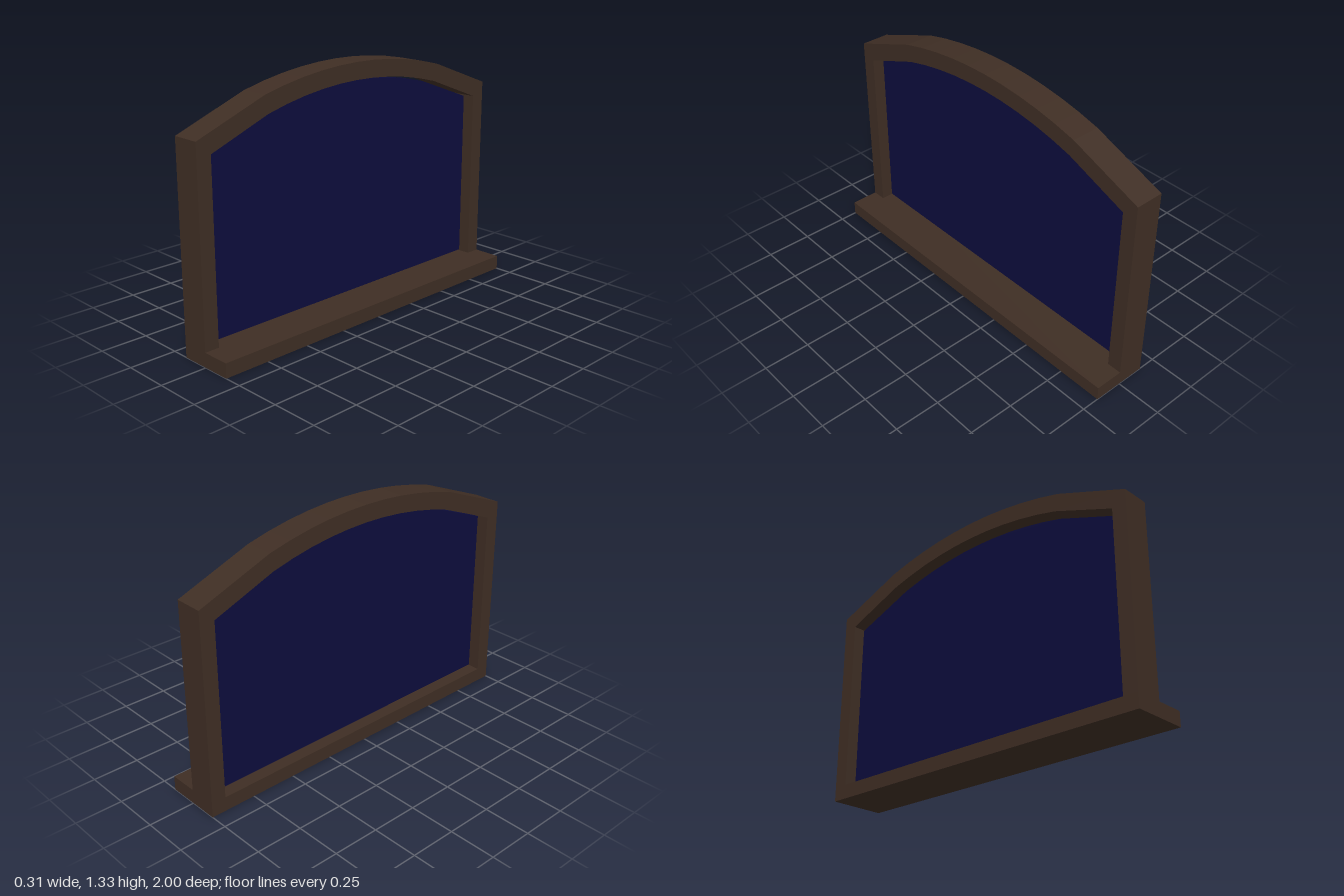
import * as THREE from 'three';

const HALF_DEPTH = 0.155; // frame runs x = -0.155..0, sill reaches x = +0.155
const SILL = 0.077;

// Arc points from -half to +half: straight shoulders, then a faceted circular crown.
function archPoints(half, spring, crown, shoulder) {
  const rise = crown - spring;
  const radius = (half * half + rise * rise) / (2 * rise);
  const steps = 10;
  const points = [new THREE.Vector2(-half, spring)];
  for (let i = 0; i <= steps; i++) {
    const x = shoulder * (2 * i / steps - 1);
    points.push(new THREE.Vector2(x, crown - radius + Math.sqrt(radius * radius - x * x)));
  }
  points.push(new THREE.Vector2(half, spring));
  return points;
}

// Extrudes an outline drawn in the z-y plane from x0 to x1.
function slab(name, points, x0, x1, material) {
  const geometry = new THREE.ExtrudeGeometry(new THREE.Shape(points), {
    depth: x1 - x0, bevelEnabled: false,
  });
  geometry.rotateY(Math.PI / 2);
  geometry.translate(x0, 0, 0);
  const mesh = new THREE.Mesh(geometry, material);
  mesh.name = name;
  return mesh;
}

export function createModel() {
  const wood = new THREE.MeshStandardMaterial({ color: 0x3f2e24 });
  wood.name = 'dark wood';
  const blue = new THREE.MeshStandardMaterial({ color: 0x0d0d3d });
  blue.name = 'navy glass';

  const group = new THREE.Group();
  group.name = 'archedWindow';

  // Sill projecting in front of the frame
  const sill = new THREE.Mesh(new THREE.BoxGeometry(HALF_DEPTH * 2, SILL, 2), wood);
  sill.name = 'sill';
  sill.position.y = SILL / 2;
  group.add(sill);

  // Jambs and arched head as one outline, open at the bottom
  const outer = archPoints(1, 1.092, 1.325, 0.6);
  const inner = archPoints(0.92, 1.02, 1.234, 0.58).reverse();
  group.add(slab('frame', [
    new THREE.Vector2(-1, SILL), ...outer, new THREE.Vector2(1, SILL),
    new THREE.Vector2(0.92, SILL), ...inner, new THREE.Vector2(-0.92, SILL),
  ], -HALF_DEPTH, 0, wood));

  // Pane set in the middle of the frame with a hairline gap all round
  group.add(slab('glassPane', [
    new THREE.Vector2(-0.913, 0.085),
    ...archPoints(0.913, 1.013, 1.221, 0.56),
    new THREE.Vector2(0.913, 0.085),
  ], -0.093, -0.062, blue));

  return group;
}
